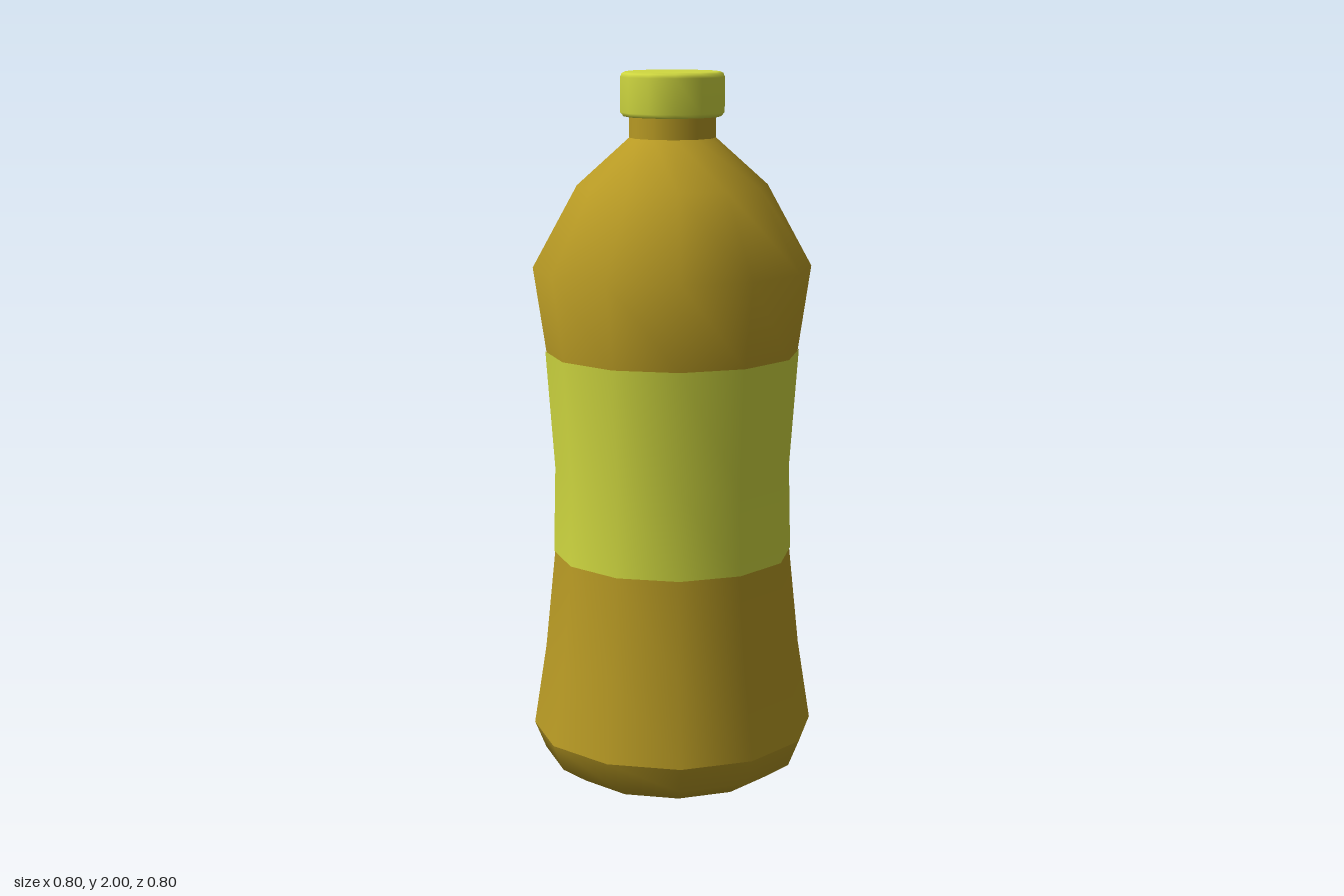
import * as THREE from 'three';

const SIDES = 12;

export function createModel() {
  const bottle = new THREE.Group();
  bottle.name = 'bottle';

  const amber = new THREE.MeshStandardMaterial({ color: 0xb89a24 });
  amber.name = 'amber';
  const lime = new THREE.MeshStandardMaterial({ color: 0xd0d840 });
  lime.name = 'lime';

  // Twelve-sided turned part from [radius, height] pairs, bottom to top
  const turn = (name, profile, material) => {
    const points = profile.map(([r, y]) => new THREE.Vector2(r, y));
    const mesh = new THREE.Mesh(new THREE.LatheGeometry(points, SIDES), material);
    mesh.name = name;
    bottle.add(mesh);
  };

  // Base, with a crease where it meets the wall
  turn('base', [[0, 0], [0.298, 0.002], [0.37, 0.05], [0.402, 0.128]], amber);

  // Waisted wall and rounded shoulder
  const waist = [[0.337, 0.645], [0.331, 0.89], [0.355, 1.225]];
  turn('body', [
    [0.402, 0.128], [0.366, 0.36], ...waist,
    [0.39, 1.462], [0.265, 1.69], [0.12, 1.82],
  ], amber);

  // Neck
  turn('neck', [[0.12, 1.82], [0.12, 1.89]], amber);

  // Label wrapped round the waist
  turn('label', waist.map(([r, y]) => [r + 0.003, y]), lime);

  // Screw cap with softened rims
  turn('cap', [
    [0.11, 1.878], [0.135, 1.878], [0.144, 1.889],
    [0.144, 1.985], [0.14, 1.995], [0.13, 2], [0, 2],
  ], lime);

  return bottle;
}
